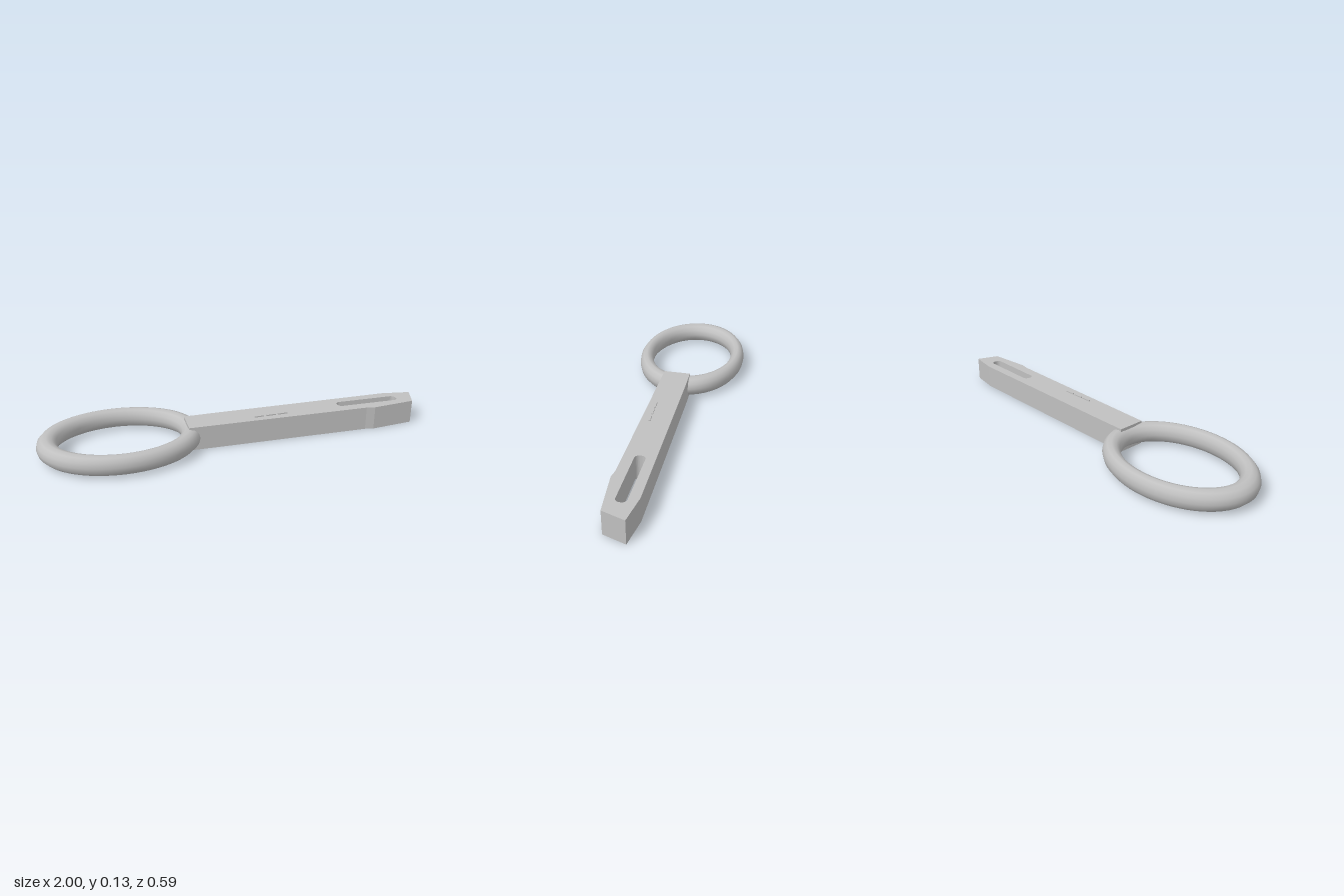
import * as THREE from 'three';

export function createModel() {
  const group = new THREE.Group();
  const metal = new THREE.MeshStandardMaterial({ color: 0xc0c0c0 });
  metal.name = 'silver grey';

  const add = (name, geometry, x = 0, y = 0, z = 0) => {
    const mesh = new THREE.Mesh(geometry, metal);
    mesh.name = name;
    mesh.position.set(x, y, z);
    group.add(mesh);
    return mesh;
  };

  // Oval ring lying flat
  const torus = new THREE.TorusGeometry(0.356, 0.052, 12, 64);
  torus.rotateX(-Math.PI / 2);
  torus.scale(1, 1, 0.728);
  add('ring', torus, -0.592, 0.0625, -0.002);

  // Bar outline as (x, z), drawn with shape y = -z
  const outline = [
    [-0.26, 0.09], [0.69, 0.09], [0.735, 0.098], [0.962, 0.072],
    [1.0, -0.041], [0.85, -0.064], [-0.12, -0.054], [-0.26, -0.051],
  ].map(([x, z]) => new THREE.Vector2(x, -z));
  const shape = new THREE.Shape(outline);

  // Rounded slot through the bar
  const [x0, x1, z0, z1, r] = [0.555, 0.895, -0.015, 0.037, 0.023];
  const slot = new THREE.Path();
  slot.absarc(x0 + r, -z0 - r, r, Math.PI / 2, Math.PI, false);
  slot.absarc(x0 + r, -z1 + r, r, Math.PI, Math.PI * 1.5, false);
  slot.absarc(x1 - r, -z1 + r, r, Math.PI * 1.5, Math.PI * 2, false);
  slot.absarc(x1 - r, -z0 - r, r, 0, Math.PI / 2, false);
  slot.closePath();
  shape.holes.push(slot);

  const bar = new THREE.ExtrudeGeometry(shape, { depth: 0.124, bevelEnabled: false, curveSegments: 6 });
  bar.rotateX(-Math.PI / 2);
  add('bar', bar);

  // Row of small raised dashes on top of the bar
  for (let i = 0; i < 3; i++) {
    const dash = add('raisedDash', new THREE.BoxGeometry(0.05, 0.008, 0.008), 0.112 + i * 0.063, 0.126, 0.051 - i * 0.002);
    dash.rotation.y = 0.04;
  }

  return group;
}
